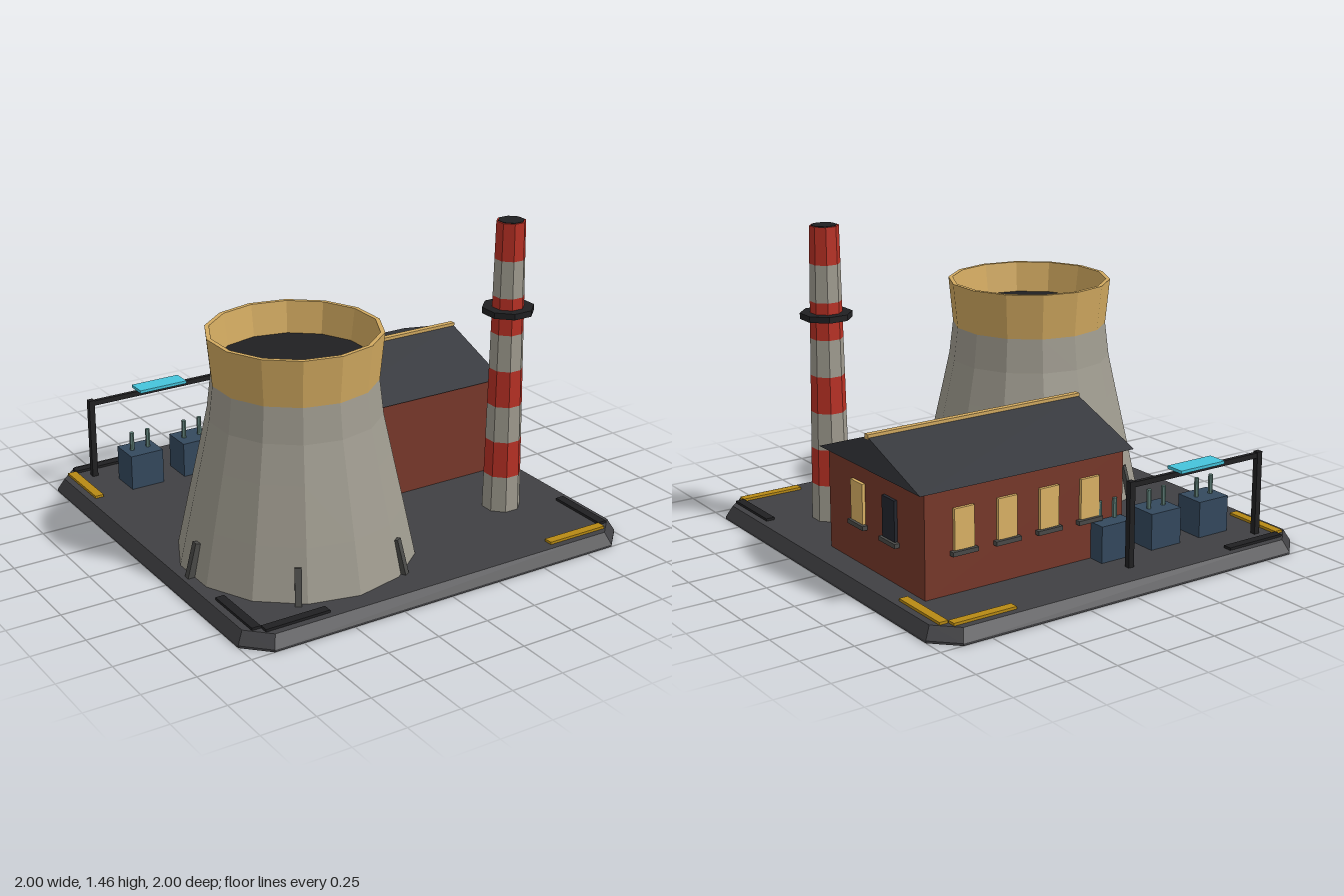
import * as THREE from 'three';
import { ConvexGeometry } from 'three/addons/geometries/ConvexGeometry.js';

const paint = (color) => new THREE.MeshStandardMaterial({ color, flatShading: true });
const mats = {
  slab: paint(0x404043), concrete: paint(0x9f9b8f), sand: paint(0xd2aa60), red: paint(0xb83024),
  brick: paint(0x78382a), roof: paint(0x35373c), black: paint(0x202022), glass: paint(0x23262e),
  lit: paint(0xdcb365), steel: paint(0x4a4a48), pipe: paint(0x85878a), blue: paint(0x34495e),
  cyan: paint(0x45c4dc), yellow: paint(0xb88a14), insulator: paint(0x5f7f78),
};

export function createModel() {
  const model = new THREE.Group();
  const add = (name, geometry, mat, x = 0, y = 0, z = 0, parent = model) => {
    const mesh = new THREE.Mesh(geometry, mats[mat]);
    mesh.name = name;
    mesh.position.set(x, y, z);
    parent.add(mesh);
    return mesh;
  };
  const box = (name, mat, w, h, d, x, y, z, parent) =>
    add(name, new THREE.BoxGeometry(w, h, d), mat, x, y, z, parent);
  const group = (name, x = 0, y = 0, z = 0) => {
    const g = new THREE.Group();
    g.name = name;
    g.position.set(x, y, z);
    model.add(g);
    return g;
  };

  // Ground slab: chamfered square with a sloping rim
  const ground = 0.065;
  const slab = [];
  for (const [r, cut, y] of [[1, 0.11, 0], [1, 0.11, 0.01], [0.97, 0.1, ground]]) {
    for (const sx of [-1, 1]) for (const sz of [-1, 1]) {
      slab.push(new THREE.Vector3(sx * r, y, sz * (r - cut)), new THREE.Vector3(sx * (r - cut), y, sz * r));
    }
  }
  add('groundSlab', new ConvexGeometry(slab), 'slab');

  // Cooling tower
  const tower = group('coolingTower', -0.395, 0, 0.347);
  const lathe = (pts) => new THREE.LatheGeometry(pts.map((p) => new THREE.Vector2(...p)), 14);
  add('towerShell', lathe([[0.535, 0.06], [0.483, 0.3], [0.425, 0.56], [0.388, 0.73], [0.369, 0.89]]),
    'concrete', 0, 0, 0, tower);
  add('towerRim', lathe([[0.369, 0.89], [0.39, 1.105], [0.37, 1.105], [0.345, 0.94]]), 'sand', 0, 0, 0, tower);
  add('towerOpening', new THREE.CylinderGeometry(0.352, 0.352, 0.02, 14), 'black', 0, 0.95, 0, tower);
  for (let i = 0; i < 6; i++) {
    const arm = new THREE.Group();
    arm.name = 'buttress';
    arm.rotation.y = (i * Math.PI) / 3;
    tower.add(arm);
    box('buttressFin', 'steel', 0.035, 0.165, 0.03, 0.515, 0.14, 0, arm).rotation.z = 0.26;
  }

  // Pipe between tower and hall
  const pipe = add('pipe', new THREE.CylinderGeometry(0.04, 0.04, 0.36, 8), 'pipe', 0.078, 0.33, 0.18);
  pipe.rotation.set(0, Math.PI / 4, Math.PI / 2);

  // Striped chimney with eight equal bands
  const chimney = group('chimney', 0.65, 0, 0.48);
  const octagon = (top, bottom, h) => new THREE.CylinderGeometry(top, bottom, h, 8, 1, false, Math.PI / 8);
  const bands = 8, bandHeight = (1.455 - ground) / bands;
  const radius = (i) => 0.091 - (0.023 * i) / bands;
  for (let i = 0; i < bands; i++) {
    add('chimneyBand', octagon(radius(i + 1), radius(i), bandHeight), i % 2 ? 'red' : 'concrete',
      0, ground + (i + 0.5) * bandHeight, 0, chimney);
  }
  add('chimneyRing', octagon(0.121, 0.121, 0.028), 'black', 0, 1.04, 0, chimney);
  add('chimneyMouth', octagon(0.06, 0.06, 0.006), 'black', 0, 1.455, 0, chimney);

  // Brick hall with gabled roof
  const hall = group('hall', 0.33, 0, -0.26);
  box('hallWalls', 'brick', 1.04, 0.485, 0.785, 0, 0.3025, 0, hall);
  const gable = new THREE.Shape([[-0.417, 0.54], [0.417, 0.54], [0, 0.692]].map((p) => new THREE.Vector2(...p)));
  const roof = add('hallRoof', new THREE.ExtrudeGeometry(gable, { depth: 1.115, bevelEnabled: false }),
    'roof', -0.5575, 0, -0.005, hall);
  roof.rotation.y = Math.PI / 2;
  box('ridgeCap', 'sand', 1.12, 0.022, 0.028, 0, 0.691, -0.005, hall);

  // Windows face +z in their own frame
  const addWindow = (x, z, turn, mat) => {
    const w = group('window', x, 0.355, z);
    w.rotation.y = turn;
    box('windowPane', mat, 0.1, 0.185, 0.03, 0, 0, 0, w);
    box('windowSill', 'steel', 0.13, 0.02, 0.05, 0, -0.105, 0, w);
  };
  for (let i = 0; i < 4; i++) addWindow(0.22 * i, -0.6525, Math.PI, 'lit');
  addWindow(0.85, -0.127, Math.PI / 2, 'lit');
  addWindow(0.85, -0.39, Math.PI / 2, 'glass');

  // Transformers with paired insulators
  for (const x of [-0.66, -0.38, -0.1]) {
    const t = group('transformer', x, ground, -0.66);
    box('transformerTank', 'blue', 0.168, 0.17, 0.15, 0, 0.085, 0, t);
    for (const s of [-1, 1]) {
      add('insulator', new THREE.CylinderGeometry(0.011, 0.011, 0.09, 6), 'insulator', s * 0.042, 0.215, 0, t);
    }
  }

  // Power line gantry
  const gantry = group('gantry', -0.46, 0, -0.833);
  for (const s of [-1, 1]) box('gantryPost', 'black', 0.028, 0.395, 0.028, s * 0.368, 0.2625, 0, gantry);
  box('gantryBeam', 'black', 0.75, 0.024, 0.02, 0, 0.443, 0, gantry);
  box('gantryPanel', 'cyan', 0.25, 0.014, 0.095, 0, 0.464, 0, gantry);

  // Corner kerbs: one along x and one along z at each corner
  for (const [sx, sz, alongX, alongZ] of [
    [-1, -1, 'black', 'yellow'], [1, -1, 'yellow', 'yellow'],
    [-1, 1, 'black', 'black'], [1, 1, 'yellow', 'black'],
  ]) {
    box('kerb', alongX, 0.31, 0.014, 0.042, sx * 0.74, 0.07, sz * 0.917);
    box('kerb', alongZ, 0.042, 0.014, 0.31, sx * 0.917, 0.07, sz * 0.742);
  }
  return model;
}
